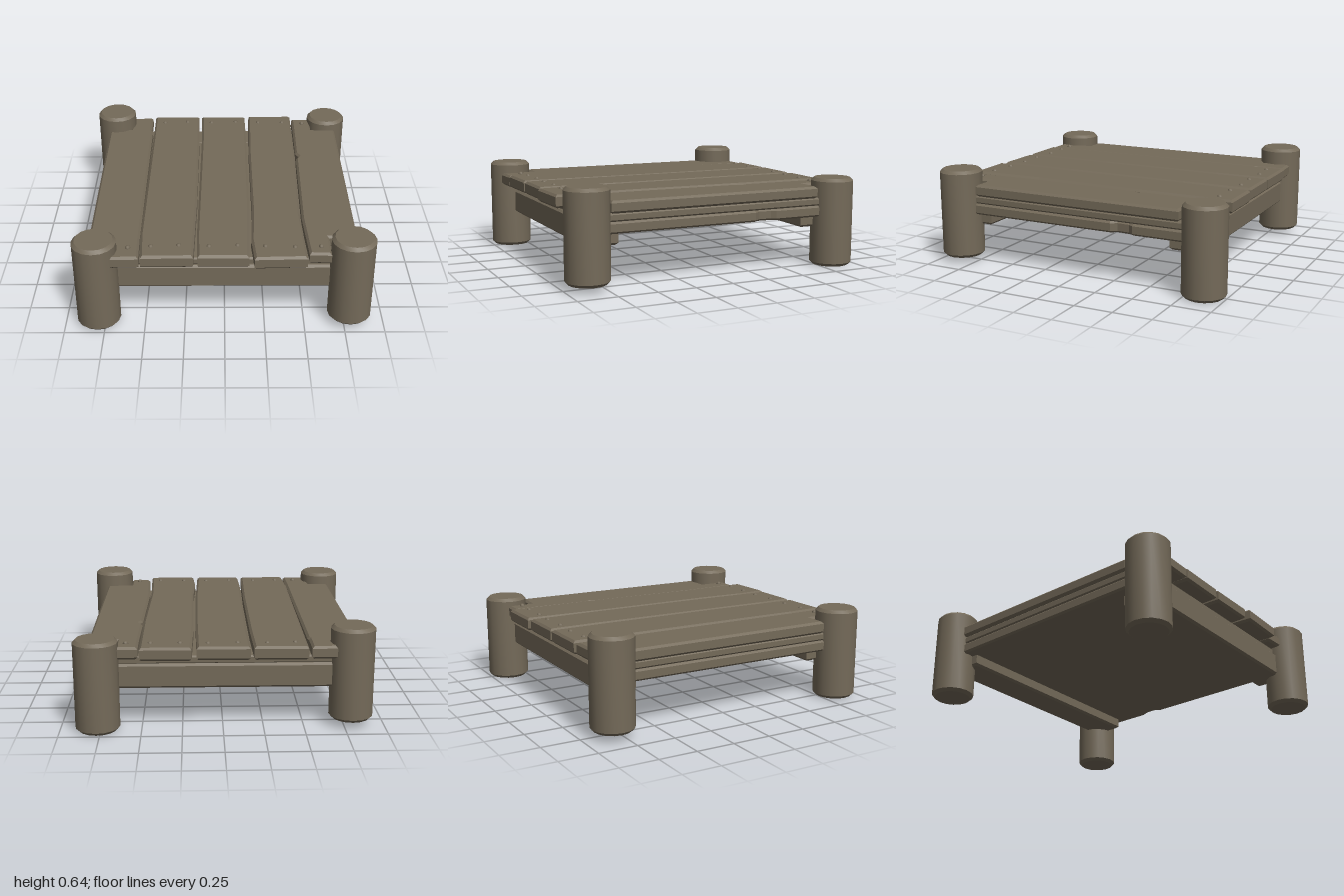
import * as THREE from 'three';
import { toCreasedNormals } from 'three/addons/utils/BufferGeometryUtils.js';

const wood = new THREE.MeshStandardMaterial({ color: 0x746a59 });
wood.name = 'weathered wood';

function add(group, name, geometry) {
  const mesh = new THREE.Mesh(geometry, wood);
  mesh.name = name;
  group.add(mesh);
  return mesh;
}

// Bevelled board from a plan outline of [x, z] points, between two heights
function board(outline, y0, y1, bevel = 0.014) {
  const shape = new THREE.Shape(outline.map(([x, z]) => new THREE.Vector2(x, -z)));
  const g = new THREE.ExtrudeGeometry(shape, {
    depth: y1 - y0 - 2 * bevel,
    bevelEnabled: true, bevelSegments: 1,
    bevelSize: bevel, bevelThickness: bevel, bevelOffset: -bevel,
  });
  g.rotateX(-Math.PI / 2);
  return g.translate(0, y0 + bevel, 0);
}

const rect = (x0, x1, z0, z1) => [[x0, z0], [x0, z1], [x1, z1], [x1, z0]];

// Round post with chamfered rims
function post(radius, height) {
  const c = 0.02;
  const profile = [[0, 0], [radius - c, 0], [radius, c], [radius, height - c], [radius - c, height], [0, height]]
    .map(([x, y]) => new THREE.Vector2(x, y));
  return toCreasedNormals(new THREE.LatheGeometry(profile, 16), 0.6);
}

export function createModel() {
  const model = new THREE.Group();
  model.name = 'woodenPlatform';

  // Corner posts: name, x, z, bottom, top
  [
    ['frontRightPost', -0.793, 0.86, 0.005, 0.605],
    ['frontLeftPost', 0.785, 0.858, 0.04, 0.62],
    ['backRightPost', -0.795, -0.807, 0.045, 0.637],
    ['backLeftPost', 0.77, -0.862, 0, 0.577],
  ].forEach(([name, x, z, y0, y1]) => {
    add(model, name, post(0.138, y1 - y0)).position.set(x, y0, z);
  });

  // Cross beams between the posts, each with a thin strip on top
  add(model, 'frontBeam', board(rect(-0.76, 0.76, 0.65, 0.865), 0.25, 0.41));
  add(model, 'backBeam', board(rect(-0.76, 0.76, -0.855, -0.63), 0.255, 0.41));
  add(model, 'frontStrip', board(rect(-0.74, 0.74, 0.66, 0.845), 0.405, 0.455, 0.01));
  add(model, 'backStrip', board(rect(-0.74, 0.74, -0.84, -0.64), 0.405, 0.455, 0.01));

  // Layers under the deck, the lower one chipped on its left edge
  add(model, 'lowerLayer', board([
    [-0.835, -0.74], [-0.835, 0.74], [0.82, 0.74], [0.82, -0.26],
    [0.795, -0.3], [0.8, -0.38], [0.82, -0.41], [0.82, -0.74],
  ], 0.328, 0.4, 0.012));
  add(model, 'upperLayer', board(rect(-0.83, 0.815, -0.74, 0.74), 0.4, 0.452, 0.01));

  // Deck planks; the outer two are cut back around the posts
  const planks = [
    [[-0.845, -0.72], [-0.69, -0.72], [-0.69, -0.905], [-0.535, -0.91], [-0.535, -0.72], [-0.527, -0.7],
      [-0.525, 0.72], [-0.52, 0.945], [-0.7, 0.95], [-0.7, 0.72], [-0.84, 0.72]],
    [[-0.515, -0.92], [-0.185, -0.92], [-0.178, -0.55], [-0.178, 0.3], [-0.19, 0.94], [-0.51, 0.945],
      [-0.523, 0.7], [-0.515, -0.7]],
    [[-0.165, -0.92], [0.16, -0.92], [0.165, -0.45], [0.162, 0.4], [0.148, 0.94], [-0.165, 0.94],
      [-0.172, 0.7], [-0.16, -0.54]],
    [[0.19, -0.93], [0.505, -0.93], [0.505, -0.3], [0.485, 0.45], [0.5, 0.95], [0.18, 0.96],
      [0.165, 0.75], [0.178, 0.44], [0.178, -0.44]],
    [[0.515, -0.89], [0.65, -0.89], [0.65, -0.72], [0.825, -0.715], [0.825, 0.72], [0.65, 0.72], [0.65, 0.905],
      [0.515, 0.9], [0.495, 0.5], [0.51, -0.28], [0.53, -0.32], [0.51, -0.36], [0.515, -0.7]],
  ];
  const tops = [0.53, 0.535, 0.535, 0.534, 0.527];
  planks.forEach((outline, i) => add(model, `plank${i + 1}`, board(outline, 0.45, tops[i])));

  // Domed nail heads along both ends: x, z
  const nails = new THREE.Group();
  nails.name = 'nails';
  model.add(nails);
  const dome = new THREE.SphereGeometry(0.017, 8, 3, 0, Math.PI * 2, 0, Math.PI / 2);
  [
    [-0.59, 0.84], [-0.45, 0.83], [-0.28, 0.82], [-0.095, 0.83], [0.08, 0.82], [0.25, 0.83], [0.43, 0.84], [0.59, 0.83],
    [-0.44, -0.82], [-0.27, -0.83], [-0.09, -0.82], [0.09, -0.83], [0.26, -0.82], [0.44, -0.82], [0.59, -0.81],
  ].forEach(([x, z]) => add(nails, 'nail', dome).position.set(x, 0.53, z));

  return model;
}
